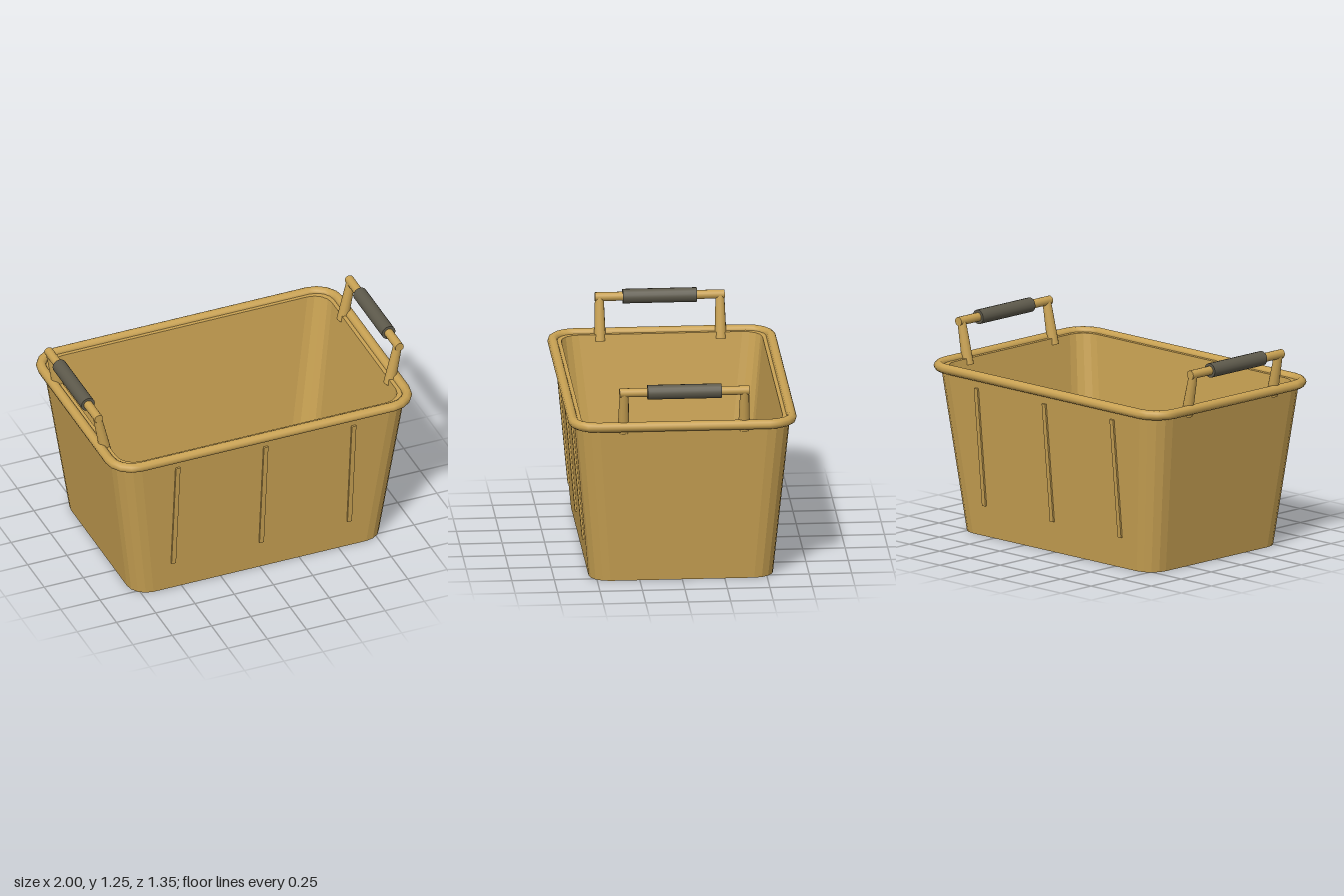
import * as THREE from 'three';

const CORNER = 4; // facets per rounded corner

// Rounded rectangle ring at height y, with half sizes hx and hz and corner radius r
function ring(hx, hz, r, y) {
  const pts = [];
  [[1, 1], [-1, 1], [-1, -1], [1, -1]].forEach(([sx, sz], q) => {
    for (let i = 0; i <= CORNER; i++) {
      const a = (q + i / CORNER) * Math.PI / 2;
      pts.push([sx * (hx - r) + r * Math.cos(a), y, sz * (hz - r) + r * Math.sin(a)]);
    }
  });
  return pts;
}

// Skin over a list of rings; wrap joins the last ring to the first
function loft(rings, wrap) {
  const n = rings[0].length, m = rings.length, index = [];
  for (let j = 0; j < (wrap ? m : m - 1); j++) {
    for (let i = 0; i < n; i++) {
      const a = j * n + i, b = j * n + (i + 1) % n;
      const k = ((j + 1) % m) * n, d = k + i, c = k + (i + 1) % n;
      index.push(a, d, c, a, c, b);
    }
  }
  const g = new THREE.BufferGeometry();
  g.setAttribute('position', new THREE.Float32BufferAttribute(rings.flat(2), 3));
  g.setIndex(index);
  return g;
}

// Round bar between two points with a radius at each end
function rod(name, from, to, r0, r1, material, sides = 12) {
  const a = new THREE.Vector3(...from), b = new THREE.Vector3(...to);
  const dir = b.clone().sub(a);
  const mesh = new THREE.Mesh(new THREE.CylinderGeometry(r1, r0, dir.length(), sides), material);
  mesh.position.copy(a).add(b).multiplyScalar(0.5);
  mesh.quaternion.setFromUnitVectors(new THREE.Vector3(0, 1, 0), dir.normalize());
  mesh.name = name;
  return mesh;
}

export function createModel() {
  const model = new THREE.Group();
  model.name = 'basket';
  const plastic = new THREE.MeshStandardMaterial({ color: 0xc9a253 });
  plastic.name = 'tan plastic';
  const rubber = new THREE.MeshStandardMaterial({ color: 0x5e5a4c });
  rubber.name = 'dark grip';

  // Tub: underside, outer wall, lip, inner wall and floor in one faceted skin
  const tub = loft([
    ring(0, 0, 0, 0),
    ring(0.797, 0.543, 0.12, 0),
    ring(0.932, 0.636, 0.14, 0.99),
    ring(0.89, 0.592, 0.11, 0.99),
    ring(0.755, 0.5, 0.12, 0.05),
    ring(0, 0, 0, 0.05),
  ], false).toNonIndexed();
  tub.computeVertexNormals();
  const tubMesh = new THREE.Mesh(tub, plastic);
  tubMesh.name = 'tub';
  model.add(tubMesh);

  // Rolled rim
  const sections = [];
  for (let i = 0; i < 10; i++) {
    const a = i / 10 * Math.PI * 2, o = 0.03 * Math.cos(a);
    sections.push(ring(0.942 + o, 0.643 + o, 0.14 + o, 0.987 + 0.029 * Math.sin(a)));
  }
  const rim = loft(sections, true);
  rim.computeVertexNormals();
  const rimMesh = new THREE.Mesh(rim, plastic);
  rimMesh.name = 'rim';
  model.add(rimMesh);

  // Three sloping ribs on the front and on the back
  for (const turn of [0, Math.PI]) {
    const ribs = new THREE.Group();
    ribs.name = turn ? 'backRibs' : 'frontRibs';
    ribs.rotation.y = turn;
    for (const x of [-0.56, 0, 0.56]) {
      const rib = new THREE.Mesh(new THREE.BoxGeometry(0.028, 0.725, 0.022), plastic);
      rib.name = 'rib';
      rib.position.set(x, 0.55, 0.595);
      rib.rotation.x = Math.atan2(0.093, 0.99);
      ribs.add(rib);
    }
    model.add(ribs);
  }

  // Handles leaning outward at both ends
  for (const s of [1, -1]) {
    const handle = new THREE.Group();
    handle.name = s > 0 ? 'leftHandle' : 'rightHandle';
    const x = s * 0.957, y = 1.203;
    for (const z of [0.355, -0.355]) {
      handle.add(rod('handlePost', [s * 0.903, 0.948, z], [x, y, z], 0.035, 0.026, plastic));
    }
    handle.add(rod('handleBar', [x, y, -0.382], [x, y, 0.382], 0.027, 0.027, plastic));
    handle.add(rod('handleGrip', [x, y, -0.218], [x, y, 0.218], 0.043, 0.043, rubber, 16));
    model.add(handle);
  }
  return model;
}
